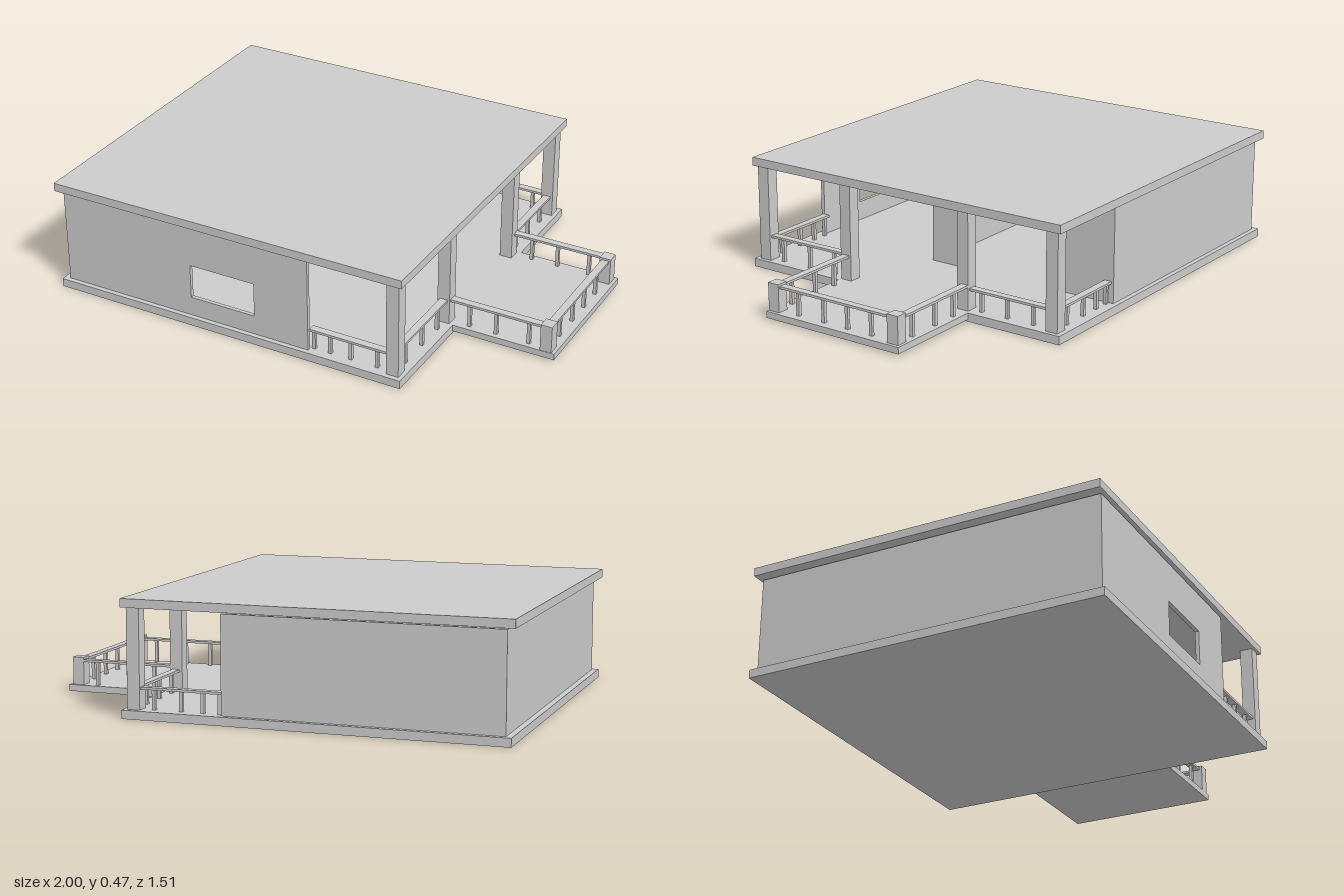
import * as THREE from 'three';

export function createModel() {
  const house = new THREE.Group();
  house.name = 'house';
  const material = new THREE.MeshStandardMaterial({ color: 0xcccccc, flatShading: true });

  const add = (name, geometry, parent = house) => {
    const mesh = new THREE.Mesh(geometry, material);
    mesh.name = name;
    parent.add(mesh);
    return mesh;
  };
  // Box given by its extents on each axis
  const box = (name, [x0, x1], [y0, y1], [z0, z1], parent) => {
    const mesh = add(name, new THREE.BoxGeometry(x1 - x0, y1 - y0, z1 - z0), parent);
    mesh.position.set((x0 + x1) / 2, (y0 + y1) / 2, (z0 + z1) / 2);
    return mesh;
  };

  const FLOOR = 0.035, WALL_TOP = 0.43, ROOF = 0.437, T = 0.016;
  const wallY = [FLOOR, WALL_TOP];

  // Slabs
  box('floor', [-0.99, 0.565], [0, FLOOR], [-0.755, 0.755]);
  box('deck', [0.565, 1], [0.008, FLOOR], [-0.335, 0.308]);
  box('roof', [-1, 0.565], [ROOF, 0.472], [-0.755, 0.748]);

  // Front wall with a window opening
  const outline = new THREE.Shape([[-0.965, FLOOR], [0.155, FLOOR], [0.155, WALL_TOP], [-0.965, WALL_TOP]]
    .map(p => new THREE.Vector2(...p)));
  outline.holes.push(new THREE.Path([[-0.375, 0.117], [-0.375, 0.262], [-0.085, 0.262], [-0.085, 0.117]]
    .map(p => new THREE.Vector2(...p))));
  add('frontWall', new THREE.ExtrudeGeometry(outline, { depth: T, bevelEnabled: false }))
    .position.z = 0.735 - T;

  // Remaining walls; the porch side is left open between its wall panels
  box('backWall', [-0.965, 0.155], wallY, [-0.735, -0.735 + T]);
  box('sideWall', [-0.965, -0.965 + T], wallY, [-0.735 + T, 0.735 - T]);
  box('porchWallCorner', [0.155 - T, 0.155], wallY, [-0.735 + T, -0.46]);
  box('porchWallMiddle', [0.155 - T, 0.155], wallY, [-0.02, 0.14]);
  box('partition', [-0.965 + T, 0.155 - T], wallY, [0.14 - T, 0.14]);

  // Roof posts, with short posts at the deck corners
  const postZ = [[0.682, 0.735], [0.255, 0.306], [-0.323, -0.272], [-0.735, -0.682]];
  postZ.forEach(z => box('porchPost', [0.495, 0.548], [FLOOR, ROOF], z));
  postZ.slice(1, 3).forEach(z => box('deckPost', [0.938, 0.986], [FLOOR, 0.15], z));

  // Handrail on balusters, along x or z at a fixed offset on the other axis
  const railing = (name, axis, span, offset, top, balusters) => {
    const group = new THREE.Group();
    group.name = name;
    house.add(group);
    const across = h => [offset - h, offset + h];
    const bar = (part, along, y, half) => axis === 'x'
      ? box(part, along, y, across(half), group)
      : box(part, across(half), y, along, group);
    bar('handrail', span, [top - 0.01, top], 0.016);
    balusters.forEach(b => bar('baluster', [b - 0.007, b + 0.007], [FLOOR, top - 0.01], 0.007));
  };
  const porchX = [0.17, 0.24, 0.33, 0.445], deckX = [0.625, 0.74, 0.88];
  railing('porchFrontRailing', 'x', [0.155, 0.495], 0.709, 0.125, porchX);
  railing('porchBackRailing', 'x', [0.155, 0.495], -0.709, 0.125, porchX);
  railing('porchSideRailing', 'z', [0.306, 0.682], 0.522, 0.141, [0.36, 0.49, 0.63]);
  railing('porchSideRailing', 'z', [-0.682, -0.323], 0.522, 0.125, [-0.61, -0.49, -0.37]);
  railing('deckFrontRailing', 'x', [0.548, 0.938], 0.28, 0.141, deckX);
  railing('deckBackRailing', 'x', [0.548, 0.938], -0.308, 0.141, deckX);
  railing('deckEndRailing', 'z', [-0.272, 0.255], 0.962, 0.141, [-0.18, -0.065, 0.05, 0.175]);

  return house;
}
